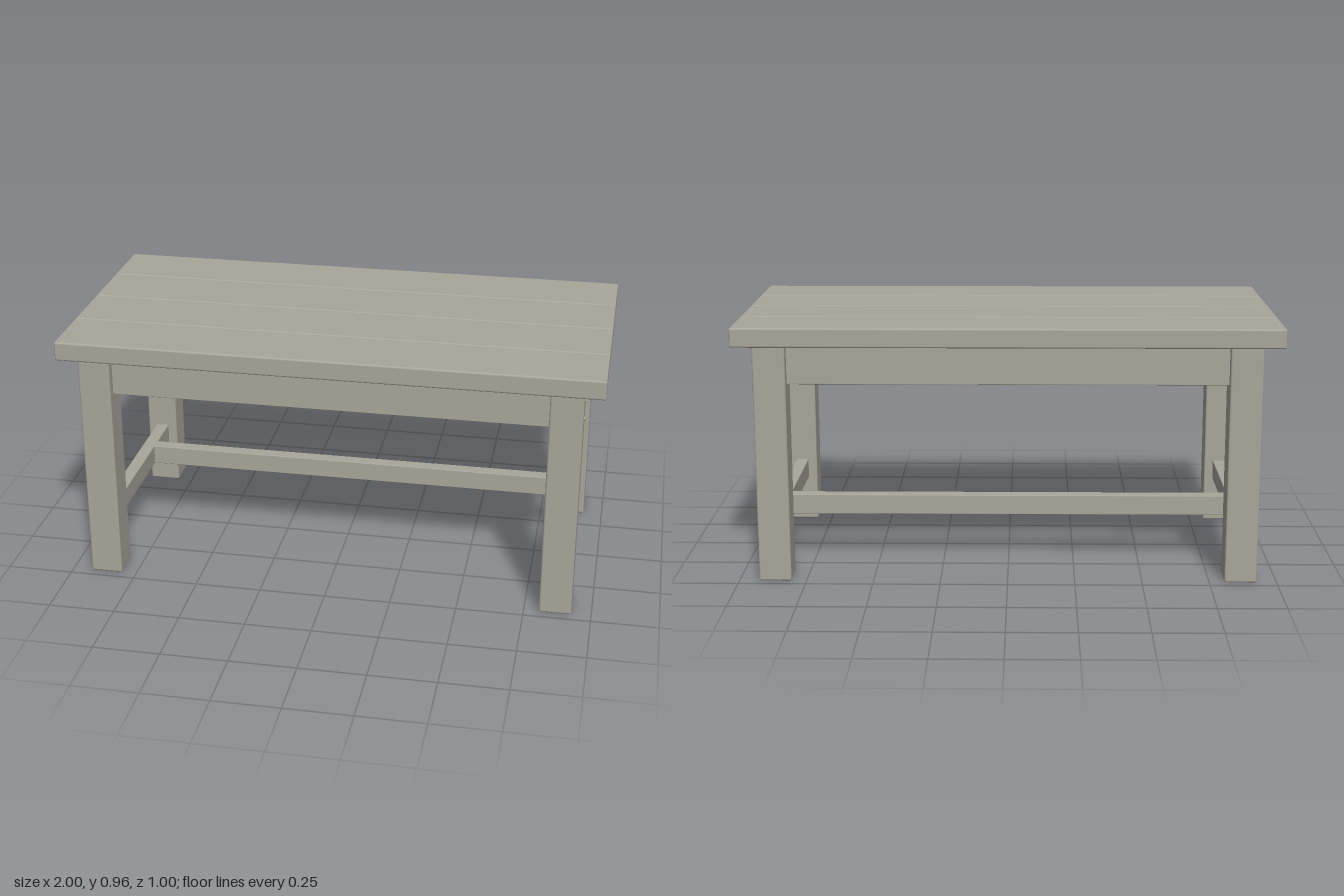
import * as THREE from 'three';
import { RoundedBoxGeometry } from 'three/addons/geometries/RoundedBoxGeometry.js';

export function createModel() {
  const table = new THREE.Group();
  table.name = 'table';
  const wood = new THREE.MeshStandardMaterial({ color: 0xa9a69a });
  wood.name = 'weathered wood';

  function add(name, geometry, x, y, z) {
    const mesh = new THREE.Mesh(geometry, wood);
    mesh.name = name;
    mesh.position.set(x, y, z);
    table.add(mesh);
    return mesh;
  }

  // Timber with slightly rounded edges
  const timber = (w, h, d, radius = 0.003) => new RoundedBoxGeometry(w, h, d, 2, radius);

  const legX = 0.866, legZ = 0.408;   // leg centres
  const legW = 0.12, legD = 0.118, legH = 0.889;
  const board = 0.05;                 // thickness of aprons, stretchers and cleats
  const innerX = 2 * legX - legW, innerZ = 2 * legZ - legD;
  const apronH = 0.147, apronY = legH - apronH / 2;
  const stretcherH = 0.077, stretcherY = 0.2165;
  const tuck = 0.02;                  // how far rails run into the legs

  // Tabletop: four planks with hairline gaps
  for (let i = 0; i < 4; i++) {
    add('tabletopPlank', timber(2, 0.072, 0.2485, 0.007), 0, 0.925, (i - 1.5) * 0.25);
  }

  // Legs, each with two bolt heads on the outer end face
  for (const sx of [-1, 1]) {
    for (const sz of [-1, 1]) {
      add('leg', timber(legW, legH, legD, 0.007), sx * legX, legH / 2, sz * legZ);
      for (const y of [0.775, 0.845]) {
        const bolt = add('boltHead', new THREE.CylinderGeometry(0.008, 0.008, 0.008, 12),
          sx * (legX + legW / 2), y, sz * legZ);
        bolt.rotation.z = Math.PI / 2;
      }
    }
  }

  // Long aprons front and back
  for (const s of [-1, 1]) {
    add('longApron', timber(innerX + tuck, apronH, board), 0, apronY, s * legZ);
  }

  // End aprons, end stretchers and cleats under the planks
  for (const s of [-1, 1]) {
    add('endApron', timber(board, apronH, innerZ + tuck), s * legX, apronY, 0);
    add('endStretcher', timber(board, stretcherH, innerZ + tuck), s * legX, stretcherY, 0);
    add('cleat', timber(board, 0.04, 2 * legZ - board), s * 0.555, legH - 0.02, 0);
  }

  // Long stretcher joining the end stretchers, set towards the back
  add('longStretcher', timber(2 * legX - board + 0.01, stretcherH, board), 0, stretcherY, -0.163);

  return table;
}
